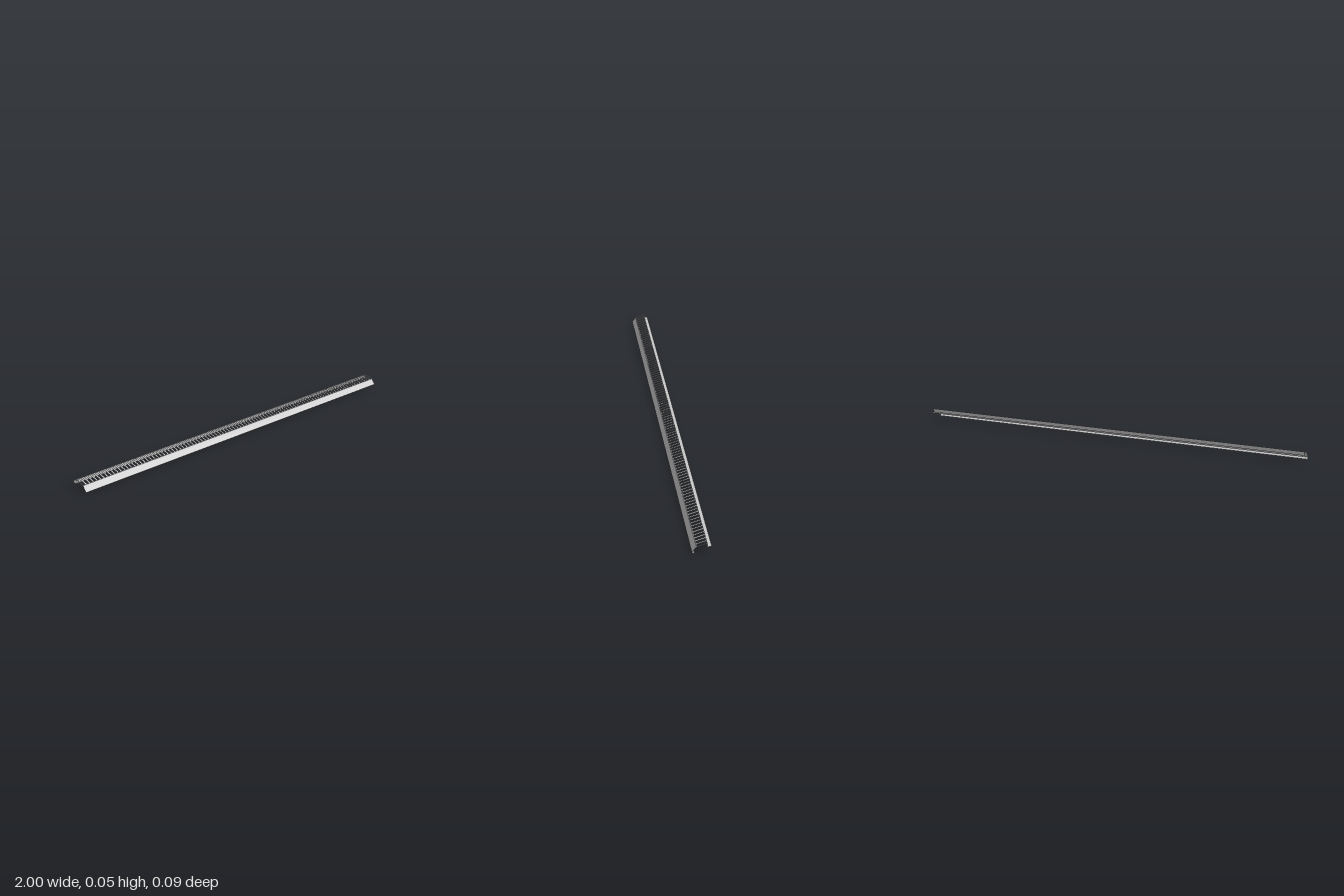
import * as THREE from 'three';

const LENGTH = 2;
const SLOTS = 100;

// Bent sheet section as [z, y], from the front lip over the top to the back hook
const PROFILE = [
  [0.031, 0], [0.0425, 0.008], [0.0235, 0.0355], [-0.0245, 0.05],
  [-0.0245, 0.0305], [-0.0425, 0.0305], [-0.0425, 0.039],
];
const NAMES = ['frontLip', 'frontFace', 'slottedTop', 'backWall', 'gutterFloor', 'gutterEdge'];

function rectangle(PathType, x0, x1, y0, y1) {
  const p = new PathType();
  p.moveTo(x0, y0);
  p.lineTo(x1, y0);
  p.lineTo(x1, y1);
  p.lineTo(x0, y1);
  p.closePath();
  return p;
}

export function createModel() {
  const group = new THREE.Group();
  group.name = 'slottedTrim';
  const material = new THREE.MeshStandardMaterial({
    color: 0xcccccc, flatShading: true, side: THREE.DoubleSide,
  });

  NAMES.forEach((name, i) => {
    const [z0, y0] = PROFILE[i];
    const [z1, y1] = PROFILE[i + 1];
    const width = Math.hypot(z1 - z0, y1 - y0);
    const shape = rectangle(THREE.Shape, -LENGTH / 2, LENGTH / 2, 0, width);

    // Row of ventilation slots across the sloping top
    if (name === 'slottedTop') {
      const pitch = LENGTH / SLOTS;
      const half = pitch * 0.28;
      for (let k = 0; k < SLOTS; k++) {
        const x = -LENGTH / 2 + (k + 0.5) * pitch;
        shape.holes.push(rectangle(THREE.Path, x - half, x + half, 0.003, width - 0.003));
      }
    }

    // Stand each flat strip along its segment of the section
    const along = new THREE.Vector3(0, (y1 - y0) / width, (z1 - z0) / width);
    const xAxis = new THREE.Vector3(1, 0, 0);
    const matrix = new THREE.Matrix4()
      .makeBasis(xAxis, along, new THREE.Vector3().crossVectors(xAxis, along))
      .setPosition(0, y0, z0);
    const mesh = new THREE.Mesh(new THREE.ShapeGeometry(shape).applyMatrix4(matrix), material);
    mesh.name = name;
    group.add(mesh);
  });

  return group;
}
